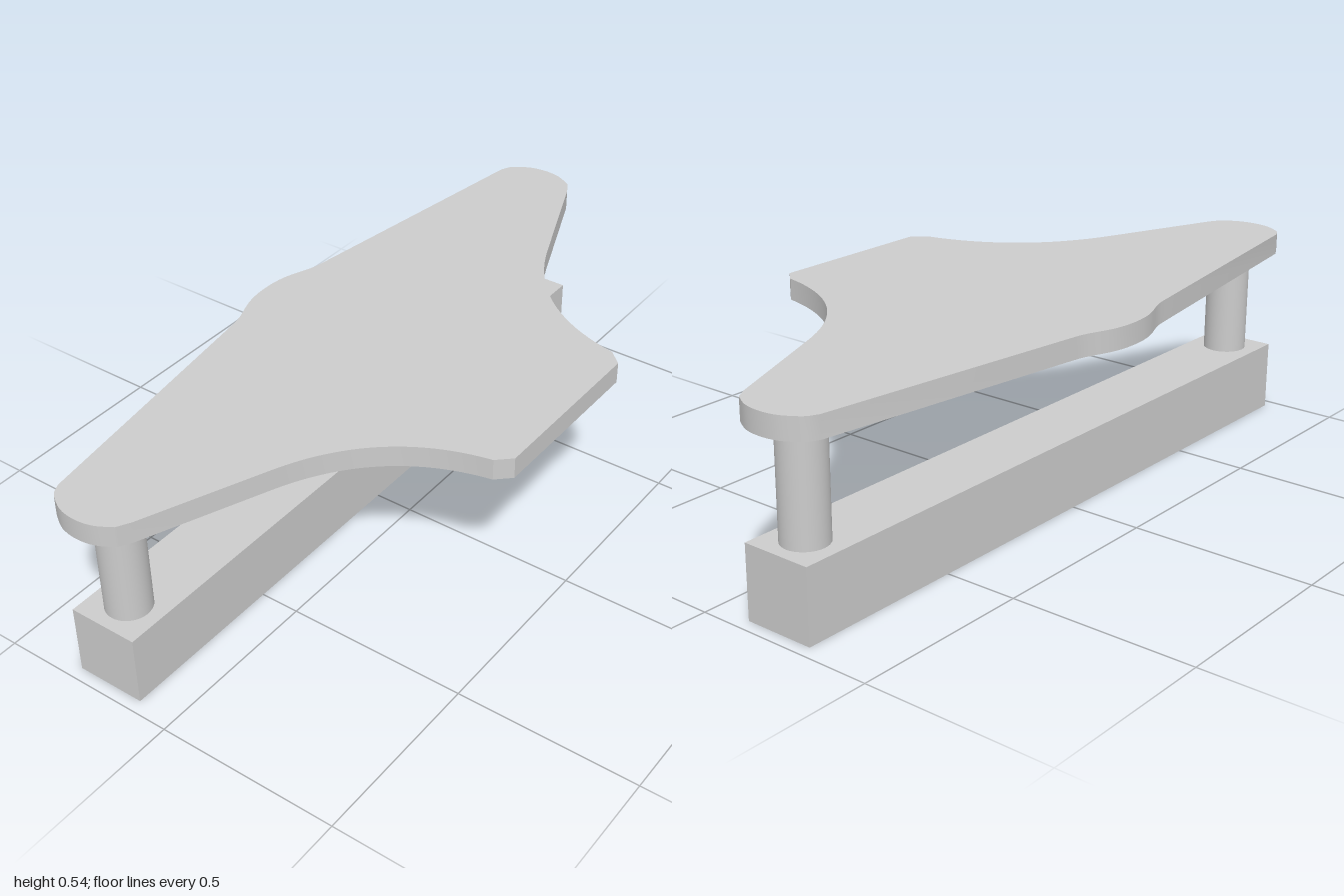
import * as THREE from 'three';
import { toCreasedNormals } from 'three/addons/utils/BufferGeometryUtils.js';

const material = new THREE.MeshStandardMaterial({ color: 0xcccccc });
const v = (x, z) => new THREE.Vector2(x, z);

function addPart(group, name, geometry, x, y, z) {
  const mesh = new THREE.Mesh(geometry, material);
  mesh.name = name;
  mesh.position.set(x, y, z);
  group.add(mesh);
}

// Half of the plate outline as (x, z), from the front edge round to the back centre
function halfOutline() {
  const flare = new THREE.CubicBezierCurve(v(0.275, 0.435), v(0.31, 0.25), v(0.42, 0.115), v(0.6, 0.04));
  const tip = new THREE.SplineCurve([v(0.965, -0.115), v(0.99, -0.16), v(0.998, -0.21), v(0.99, -0.26), v(0.965, -0.303)]);
  const crest = new THREE.CubicBezierCurve(v(0.19, -0.432), v(0.12, -0.44), v(0.1, -0.477), v(0, -0.477));
  return [
    v(0.24, 0.473), ...flare.getPoints(20),
    v(0.93, -0.095), ...tip.getPoints(16),
    v(0.955, -0.313), v(0.93, -0.325), v(0.23, -0.426), ...crest.getPoints(14),
  ];
}

export function createModel() {
  const group = new THREE.Group();
  group.name = 'raisedPlateStand';

  // Long base beam
  addPart(group, 'baseBeam', new THREE.BoxGeometry(1.93, 0.195, 0.193), 0, 0.0975, -0.205);

  // Pair of round posts
  for (const [name, x] of [['leftPost', 0.872], ['rightPost', -0.872]]) {
    addPart(group, name, new THREE.CylinderGeometry(0.06, 0.06, 0.29, 40), x, 0.34, -0.205);
  }

  // Contoured top plate, mirrored across x
  const half = halfOutline();
  const mirrored = half.slice(0, -1).reverse().map((p) => v(-p.x, p.y));
  const plate = new THREE.ExtrudeGeometry(new THREE.Shape([...half, ...mirrored]), { depth: 0.058, bevelEnabled: false });
  plate.rotateX(Math.PI / 2);
  addPart(group, 'topPlate', toCreasedNormals(plate, 0.4), 0, 0.543, 0);

  return group;
}
